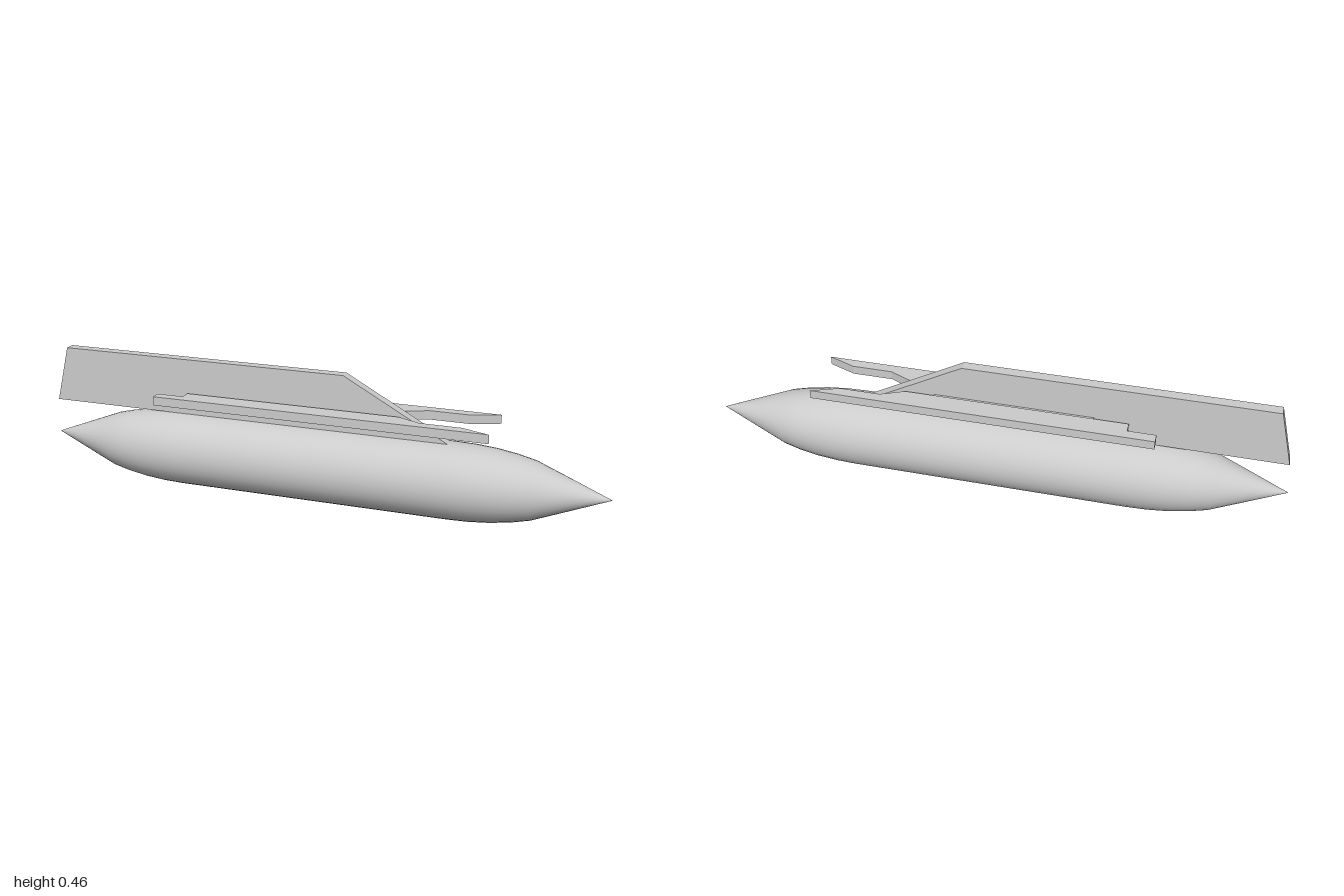
import * as THREE from 'three';

const material = new THREE.MeshStandardMaterial({ color: 0xcccccc });

function addPart(group, name, geometry) {
  const mesh = new THREE.Mesh(geometry, material);
  mesh.name = name;
  group.add(mesh);
  return mesh;
}

// Extruded outline from [a, b] points
function extrude(points, depth) {
  const shape = new THREE.Shape(points.map(([a, b]) => new THREE.Vector2(a, b)));
  return new THREE.ExtrudeGeometry(shape, { depth, bevelEnabled: false });
}

export function createModel() {
  const model = new THREE.Group();
  model.name = 'pylonTank';

  // Spindle body: one half profile mirrored end to end, turned about x
  const half = [[0, 1], [0.05, 0.873], [0.098, 0.75], [0.112, 0.69], [0.123, 0.62], [0.129, 0.55], [0.131, 0.48]];
  const profile = [
    ...half.map(([r, x]) => new THREE.Vector2(r, -x)),
    ...half.slice().reverse().map(([r, x]) => new THREE.Vector2(r, x)),
  ];
  const body = new THREE.LatheGeometry(profile, 32);
  body.rotateZ(-Math.PI / 2);
  body.translate(0, 0.132, 0);
  addPart(model, 'body', body);

  // Upright pylon with raked front and rear edges
  const pylon = extrude([[-0.985, 0.262], [0.465, 0.262], [0.105, 0.46], [-0.935, 0.46]], 0.037);
  pylon.translate(0, 0, -0.0185);
  addPart(model, 'pylon', pylon);

  // Stepped side rails, mirrored across the pylon
  const rail = [
    [-0.555, 0.104], [-0.555, 0.068], [-0.46, 0.068], [-0.46, 0.031],
    [0.3, 0.031], [0.38, 0.067], [0.52, 0.067], [0.615, 0.104],
  ];
  for (const side of [1, -1]) {
    const geometry = extrude(rail.map(([x, z]) => [x, z * side]), 0.031);
    geometry.rotateX(Math.PI / 2);
    geometry.translate(0, 0.342, 0);
    addPart(model, side > 0 ? 'frontRail' : 'backRail', geometry);
  }

  // Thin web joining both rails through the pylon
  const web = new THREE.BoxGeometry(0.545, 0.022, 0.07);
  web.translate(-0.07, 0.326, 0);
  addPart(model, 'railWeb', web);

  return model;
}
